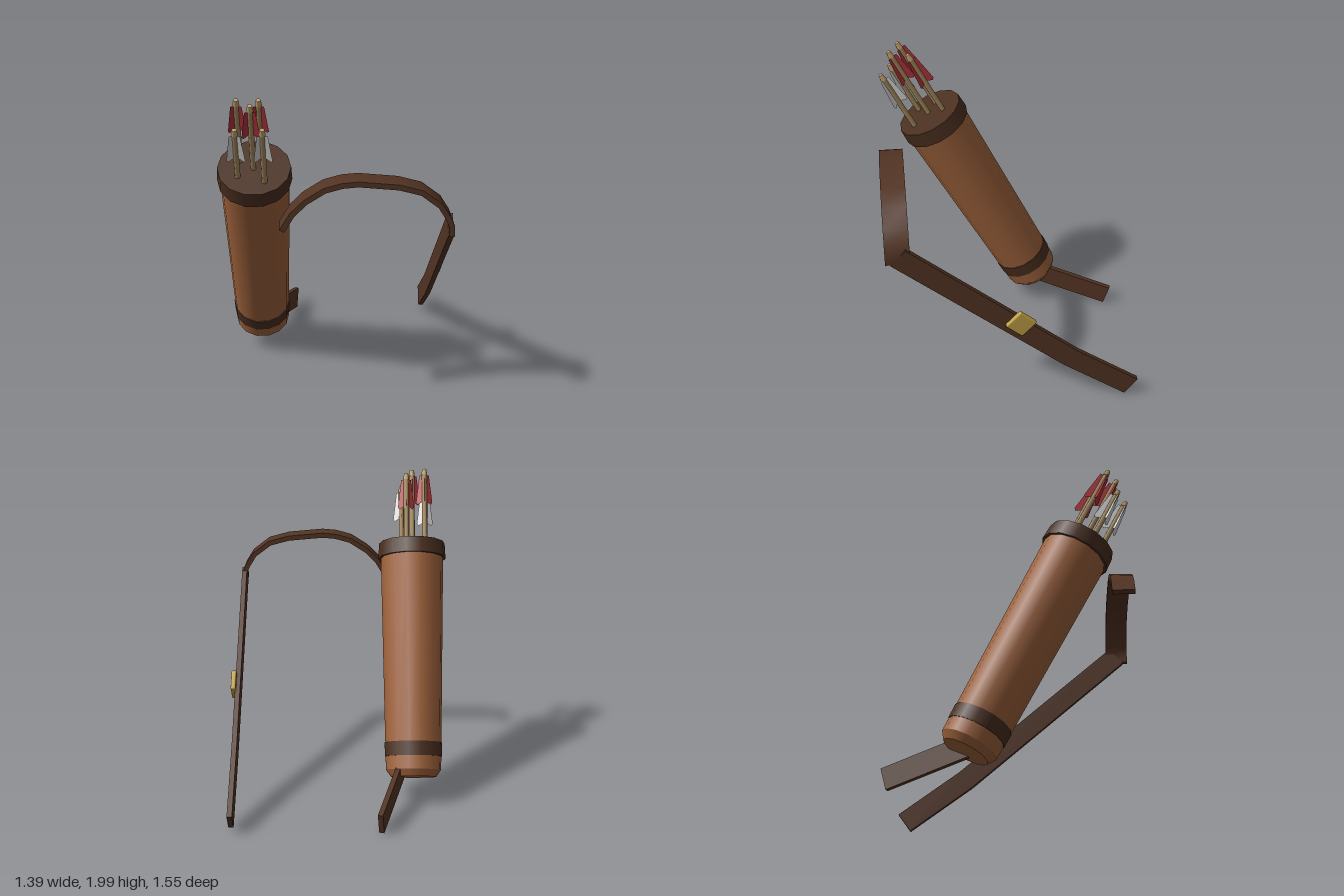
import * as THREE from 'three';
import { toCreasedNormals } from 'three/addons/utils/BufferGeometryUtils.js';
import { RoundedBoxGeometry } from 'three/addons/geometries/RoundedBoxGeometry.js';

const material = (name, color, extra = {}) => {
  const m = new THREE.MeshStandardMaterial({ color, ...extra });
  m.name = name;
  return m;
};

const SIDES = 14;
const TILT = 0.47;          // forward lean of the quiver
const STRAP_WIDTH = 0.145;
const STRAP_THICK = 0.032;

// Closed outline of constant thickness around an open 2D path
function stripShape(path, thickness) {
  const pts = path.map(([x, y]) => new THREE.Vector2(x, y));
  const sides = [[], []];
  pts.forEach((p, i) => {
    const a = pts[Math.max(i - 1, 0)], b = pts[Math.min(i + 1, pts.length - 1)];
    const t = b.clone().sub(a).normalize();
    const n = new THREE.Vector2(-t.y, t.x).multiplyScalar(thickness / 2);
    sides[0].push(p.clone().add(n));
    sides[1].unshift(p.clone().sub(n));
  });
  return new THREE.Shape([...sides[0], ...sides[1]]);
}

function extrudeStrip(path, thickness, depth) {
  const geo = new THREE.ExtrudeGeometry(stripShape(path, thickness), { depth, bevelEnabled: false });
  return geo.translate(0, 0, -depth / 2);
}

export function createModel() {
  const leather = material('leather', 0x9e623c);
  const darkLeather = material('dark leather', 0x4a2f1f);
  const strapLeather = material('strap leather', 0x533423);
  const wood = material('shaft wood', 0xa88c60);
  const paleWood = material('nock wood', 0xc0a070);
  const redFeather = material('red feather', 0xb0343c, { side: THREE.DoubleSide });
  const whiteFeather = material('white feather', 0xd8d8d8, { side: THREE.DoubleSide });
  const brass = material('brass', 0xc29f45);

  const model = new THREE.Group();
  model.name = 'quiverWithStrap';
  const add = (parent, name, geo, mat) => {
    const mesh = new THREE.Mesh(geo, mat);
    mesh.name = name;
    parent.add(mesh);
    return mesh;
  };

  // Quiver, built upright and then leaned forward
  const quiver = new THREE.Group();
  quiver.name = 'quiver';
  quiver.position.set(-0.476, 0.164, -0.252);
  quiver.rotation.x = TILT;
  model.add(quiver);

  const ring = (name, y0, y1, r0, r1, mat, open = false) =>
    add(quiver, name, new THREE.CylinderGeometry(r1, r0, y1 - y0, SIDES, 1, open, Math.PI / 2)
      .translate(0, (y0 + y1) / 2, 0), mat);

  ring('bottomCap', 0, 0.045, 0.145, 0.177, leather);
  ring('body', 0.045, 1.46, 0.177, 0.206, leather);
  ring('lowerBand', 0.13, 0.22, 0.183, 0.185, darkLeather);
  ring('rim', 1.432, 1.533, 0.222, 0.217, darkLeather);

  // Arrows: x, nock height, z, feather material
  const arrows = [
    [-0.094, 1.917, 0.071, whiteFeather],
    [0.063, 1.958, 0.113, whiteFeather],
    [-0.083, 2.03, -0.05, redFeather],
    [-0.004, 2.04, 0.008, redFeather],
    [0.04, 1.985, -0.094, redFeather],
  ];
  const vane = new THREE.ShapeGeometry(new THREE.Shape([
    [0, -0.045], [0.036, -0.035], [0.062, -0.22], [0.05, -0.235], [0, -0.215],
  ].map(([x, y]) => new THREE.Vector2(x, y))));

  for (const [x, y, z, feather] of arrows) {
    const arrow = new THREE.Group();
    arrow.name = 'arrow';
    arrow.position.set(x, y, z);
    quiver.add(arrow);
    const length = y - 1.5;
    add(arrow, 'shaft', new THREE.CylinderGeometry(0.017, 0.017, length, 8)
      .translate(0, -length / 2 - 0.02, 0), wood);
    add(arrow, 'nock', new THREE.CylinderGeometry(0.014, 0.02, 0.04, 8)
      .translate(0, -0.02, 0), paleWood);
    for (let i = 0; i < 3; i++) {
      add(arrow, 'vane', vane, feather).rotation.y = Math.PI / 2 + i * Math.PI * 2 / 3;
    }
  }

  // Arched shoulder part of the strap, in front
  const arch = [
    [-0.315, 1.265], [-0.255, 1.365], [-0.18, 1.44], [-0.07, 1.51], [0.03, 1.538], [0.12, 1.546],
    [0.35, 1.525], [0.48, 1.49], [0.585, 1.41], [0.635, 1.33], [0.655, 1.28], [0.655, 1.22],
  ];
  add(model, 'strapArch', toCreasedNormals(extrudeStrip(arch, STRAP_THICK, STRAP_WIDTH), 0.6)
    .translate(0, 0, 0.703), strapLeather);

  // Long side part of the strap, drawn as z and y
  const sidePath = [[0.7, 1.265], [-0.333, 0.375], [-0.735, 0.082]];
  add(model, 'strapSide', extrudeStrip(sidePath, 0.138, STRAP_THICK)
    .rotateY(-Math.PI / 2).translate(0.655, 0, 0), strapLeather);

  // Short strap end running out of the quiver's base
  const from = new THREE.Vector3(-0.4, 0.225, -0.25);
  const to = new THREE.Vector3(-0.255, 0.077, -0.745);
  const strapEnd = add(model, 'strapEnd',
    new THREE.BoxGeometry(STRAP_THICK, 0.138, from.distanceTo(to)), strapLeather);
  strapEnd.position.copy(from).lerp(to, 0.5);
  strapEnd.lookAt(to);

  // Buckle lying on the side strap
  const buckle = add(model, 'buckle', new RoundedBoxGeometry(0.032, 0.137, 0.137, 2, 0.01), brass);
  buckle.position.set(0.68, 0.705, -0.015);
  buckle.rotation.x = -0.72;

  return model;
}
